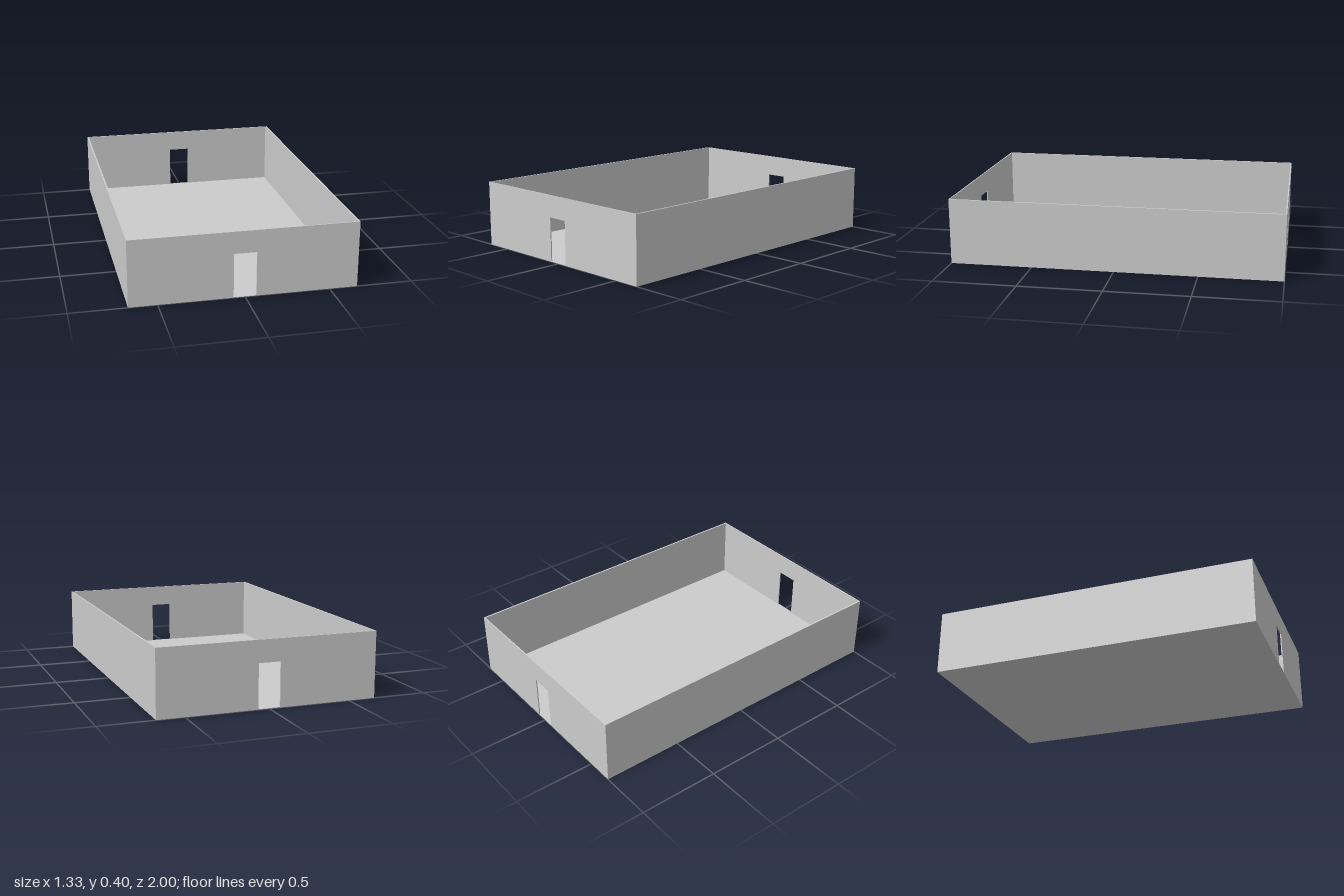
import * as THREE from 'three';

const W = 1.333, L = 2, H = 0.4;        // outer width, length, height
const SIDE_T = 0.01, END_T = 0.007;     // wall thicknesses
const FLOOR_T = 0.003;
const DOOR_W = 0.133, DOOR_H = 0.267;

export function createModel() {
  const group = new THREE.Group();
  const material = new THREE.MeshStandardMaterial({ color: 0xcccccc, flatShading: true });

  const add = (name, geometry, x, y, z) => {
    const mesh = new THREE.Mesh(geometry, material);
    mesh.name = name;
    mesh.position.set(x, y, z);
    group.add(mesh);
  };

  // Floor slab, inside the walls and flush with their base
  add('floor', new THREE.BoxGeometry(W - 2 * SIDE_T, FLOOR_T, L), 0, FLOOR_T / 2, 0);

  // Long solid side walls
  for (const [name, s] of [['leftWall', 1], ['rightWall', -1]]) {
    add(name, new THREE.BoxGeometry(SIDE_T, H, L), s * (W - SIDE_T) / 2, H / 2, 0);
  }

  // End walls, each with a central doorway down to the floor
  const w = W / 2 - SIDE_T, d = DOOR_W / 2;
  const outline = new THREE.Shape([
    [-w, 0], [-d, 0], [-d, DOOR_H], [d, DOOR_H], [d, 0], [w, 0], [w, H], [-w, H],
  ].map(([x, y]) => new THREE.Vector2(x, y)));
  const endWall = new THREE.ExtrudeGeometry(outline, { depth: END_T, bevelEnabled: false });
  add('frontWall', endWall, 0, 0, L / 2 - END_T);
  add('backWall', endWall, 0, 0, -L / 2);

  return group;
}
